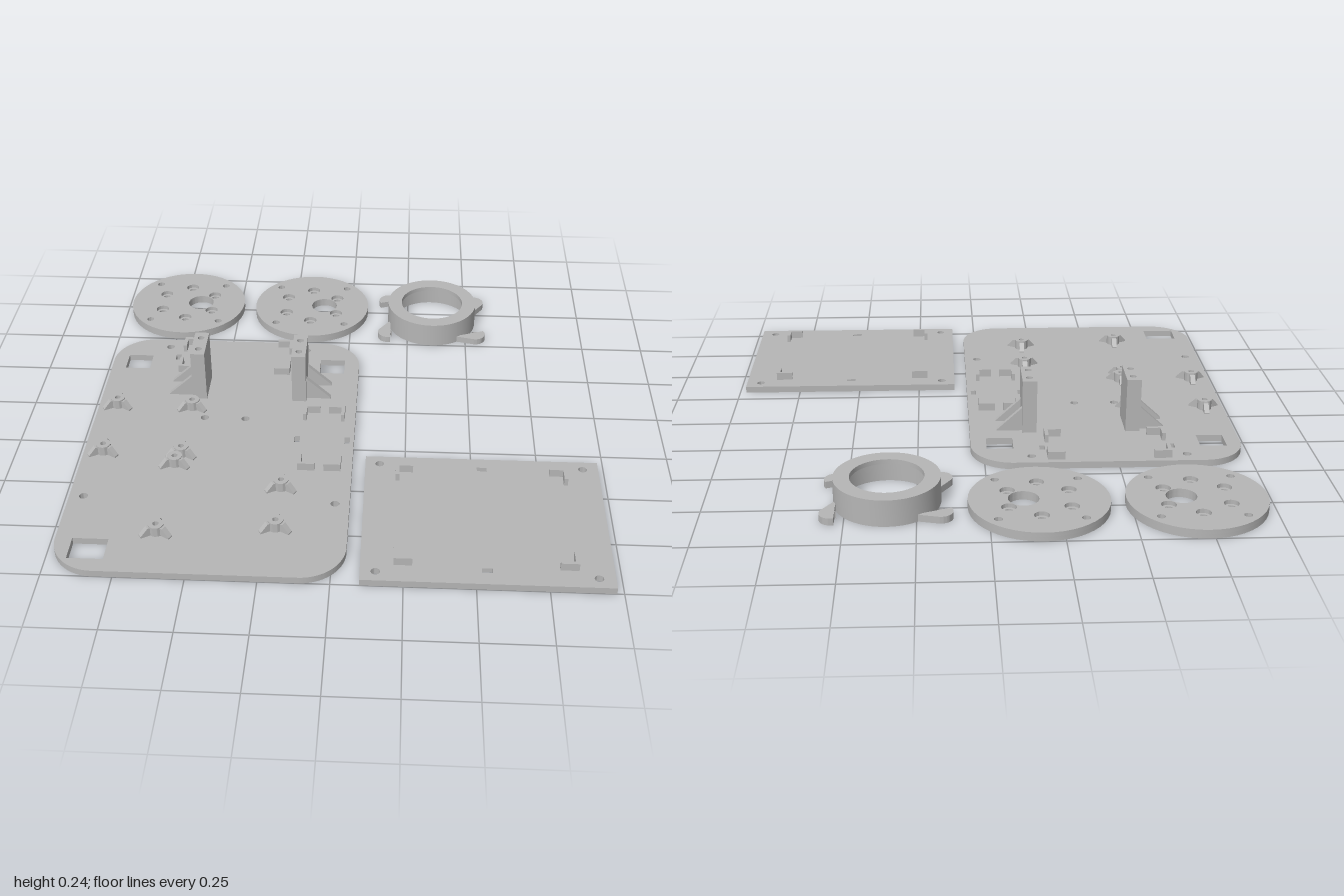
import * as THREE from 'three';
import { toCreasedNormals } from 'three/addons/utils/BufferGeometryUtils.js';

const grey = new THREE.MeshStandardMaterial({ color: 0xb6b6b6 });
grey.name = 'grey plastic';

const PLATE = 0.026; // plate thickness
const CLIP = 0.057; // top of the corner clips

function add(parent, name, geometry) {
  const mesh = new THREE.Mesh(toCreasedNormals(geometry, 0.6), grey);
  mesh.name = name;
  parent.add(mesh);
  return mesh;
}

function group(parent, name, x = 0, z = 0) {
  const g = new THREE.Group();
  g.name = name;
  g.position.set(x, 0, z);
  parent.add(g);
  return g;
}

// Outlines are drawn in plan: shape x = x, shape y = z
const circle = (x, z, r) => new THREE.Shape().absarc(x, z, r, 0, Math.PI * 2, false);
const polygon = (pts) => new THREE.Shape(pts.map((p) => new THREE.Vector2(...p)));
const rect = (x0, z0, x1, z1) => polygon([[x0, z0], [x1, z0], [x1, z1], [x0, z1]]);
const slot = (x, z, w, d) => rect(x - w / 2, z - d / 2, x + w / 2, z + d / 2);

function roundedRect(x0, z0, x1, z1, r) {
  const s = new THREE.Shape(), q = Math.PI / 2;
  s.absarc(x1 - r, z1 - r, r, 0, q, false);
  s.absarc(x0 + r, z1 - r, r, q, 2 * q, false);
  s.absarc(x0 + r, z0 + r, r, 2 * q, 3 * q, false);
  s.absarc(x1 - r, z0 + r, r, 3 * q, 4 * q, false);
  return s;
}

// Horizontal slab with holes between two heights
function slab(shape, holes, y0, y1) {
  shape.holes = holes;
  const g = new THREE.ExtrudeGeometry(shape, { depth: y1 - y0, bevelEnabled: false, curveSegments: 24 });
  return g.rotateX(Math.PI / 2).translate(0, y1, 0);
}

// Upright web of a given width, profile in x and y
function web(pts, width) {
  return new THREE.ExtrudeGeometry(polygon(pts), { depth: width, bevelEnabled: false }).translate(0, 0, -width / 2);
}

// Four L-shaped clips at the corners of a rectangle
function clips(parent, name, x0, z0, x1, z1) {
  const a = 0.065, t = 0.014;
  const g = group(parent, name);
  for (const [x, sx] of [[x0, 1], [x1, -1]]) {
    for (const [z, sz] of [[z0, 1], [z1, -1]]) {
      const pts = [[0, 0], [a, 0], [a, t], [t, t], [t, a], [0, a]].map(([u, v]) => [x + sx * u, z + sz * v]);
      add(g, 'cornerClip', slab(polygon(pts), [], PLATE - 0.002, CLIP));
    }
  }
}

// Screw boss with three sloping ribs
function standoff(parent, x, z) {
  const g = group(parent, 'standoff', x, z);
  add(g, 'boss', slab(circle(0, 0, 0.028), [circle(0, 0, 0.011)], PLATE - 0.002, 0.064));
  for (let i = 0; i < 3; i++) {
    const rib = web([[0.02, 0.024], [0.063, 0.024], [0.063, 0.031], [0.035, 0.06], [0.02, 0.06]], 0.02);
    add(g, 'rib', rib).rotation.y = Math.PI / 2 + (i * Math.PI * 2) / 3;
  }
}

// Tall post with two screw holes on top and two gussets on one side
function post(parent, x, side) {
  const g = group(parent, 'post', x, -0.105);
  const w = 0.028, d = 0.079;
  add(g, 'postBase', slab(rect(-w, -d, w, d), [], PLATE - 0.002, 0.16));
  add(g, 'postTop', slab(rect(-w, -d, w, d), [circle(0, -0.04, 0.013), circle(0, 0.04, 0.013)], 0.16, 0.24));
  for (const z of [-0.045, 0.045]) {
    const gusset = add(g, 'gusset', web([[w - 0.004, 0.024], [0.126, 0.024], [0.126, 0.03], [w, 0.12], [w - 0.004, 0.12]], 0.02));
    gusset.position.z = z;
    if (side < 0) gusset.rotation.y = Math.PI;
  }
}

// Wheel disc with counterbored bolt holes and an off-centre opening
function disc(parent, x, z) {
  const g = group(parent, 'disc', x, z);
  const holes = (boltRadius) => {
    const list = [circle(0.055, 0, 0.055)];
    for (let i = 0; i < 6; i++) {
      const a = Math.PI / 6 + (i * Math.PI) / 3;
      list.push(circle(0.126 * Math.cos(a), 0.126 * Math.sin(a), boltRadius));
    }
    for (const sx of [-1, 1]) for (const sz of [-1, 1]) list.push(circle(sx * 0.149, sz * 0.149, 0.015));
    return list;
  };
  add(g, 'discLower', slab(circle(0, 0, 0.25), holes(0.016), 0, 0.017));
  add(g, 'discUpper', slab(circle(0, 0, 0.25), holes(0.027), 0.017, 0.033));
}

// Holder ring with an inner lip and four screw ears
function holder(parent, x, z) {
  const g = group(parent, 'ringHolder', x, z);
  const profile = [[0.165, 0], [0.19, 0], [0.19, 0.1], [0.132, 0.1], [0.132, 0.082], [0.165, 0.082], [0.165, 0]];
  add(g, 'ring', new THREE.LatheGeometry(profile.map((p) => new THREE.Vector2(...p)), 72));
  for (const a of [0.605, Math.PI - 0.605, Math.PI + 0.605, -0.605]) {
    const ear = new THREE.Shape();
    ear.moveTo(0.168, -0.07);
    ear.absarc(0.229, 0, 0.043, -1.2, 1.2, false);
    ear.lineTo(0.168, 0.07);
    add(g, 'ear', slab(ear, [circle(0.229, 0, 0.017)], 0, 0.026)).rotation.y = a;
  }
}

function basePlate(parent) {
  const g = group(parent, 'basePlate');
  const holes = [
    rect(-0.922, -0.326, -0.821, -0.23), rect(-0.111, -0.326, -0.01, -0.23), rect(-0.919, 0.836, -0.79, 0.939),
    slot(-0.713, -0.32, 0.021, 0.037), slot(-0.22, -0.32, 0.021, 0.037),
    slot(-0.17, 0.225, 0.021, 0.04), slot(0.024, 0.225, 0.021, 0.04),
  ];
  for (const [x, z] of [[-0.758, -0.395], [-0.175, -0.395], [-0.546, 0.103], [-0.384, 0.103], [-0.927, 0.605], [-0.003, 0.605]])
    holes.push(circle(x, z, 0.016));
  add(g, 'plate', slab(roundedRect(-0.98, -0.45, 0.05, 1, 0.16), holes, 0, PLATE));
  clips(g, 'rearClips', -0.697, -0.427, -0.234, -0.21);
  clips(g, 'sideClips', -0.156, 0.037, 0.008, 0.416);
  post(g, -0.582, -1);
  post(g, -0.181, 1);
  for (const [x, z] of [[-0.903, 0.034], [-0.604, 0.034], [-0.903, 0.337], [-0.604, 0.337],
    [-0.62, 0.398], [-0.207, 0.52], [-0.628, 0.788], [-0.207, 0.745]]) standoff(g, x, z);
}

function smallPlate(parent) {
  const g = group(parent, 'smallPlate');
  const outline = () => rect(0.1, 0.32, 0.975, 1);
  const screws = () => [0.154, 0.917].flatMap((x) => [0.363, 0.955].map((z) => circle(x, z, 0.016)));
  // strap groove runs underneath between the two slots
  add(g, 'plateLower', slab(outline(), [...screws(), rect(0.519, 0.37, 0.557, 0.943)], 0, 0.009));
  add(g, 'plateUpper', slab(outline(), [...screws(), slot(0.538, 0.38, 0.037, 0.021), slot(0.538, 0.933, 0.037, 0.021)], 0.009, PLATE));
  clips(g, 'plateClips', 0.215, 0.395, 0.853, 0.92);
}

export function createModel() {
  const model = new THREE.Group();
  model.name = 'platformKit';
  basePlate(model);
  smallPlate(model);
  disc(model, -0.73, -0.75);
  disc(model, -0.177, -0.75);
  holder(model, 0.354, -0.69);
  return model;
}
